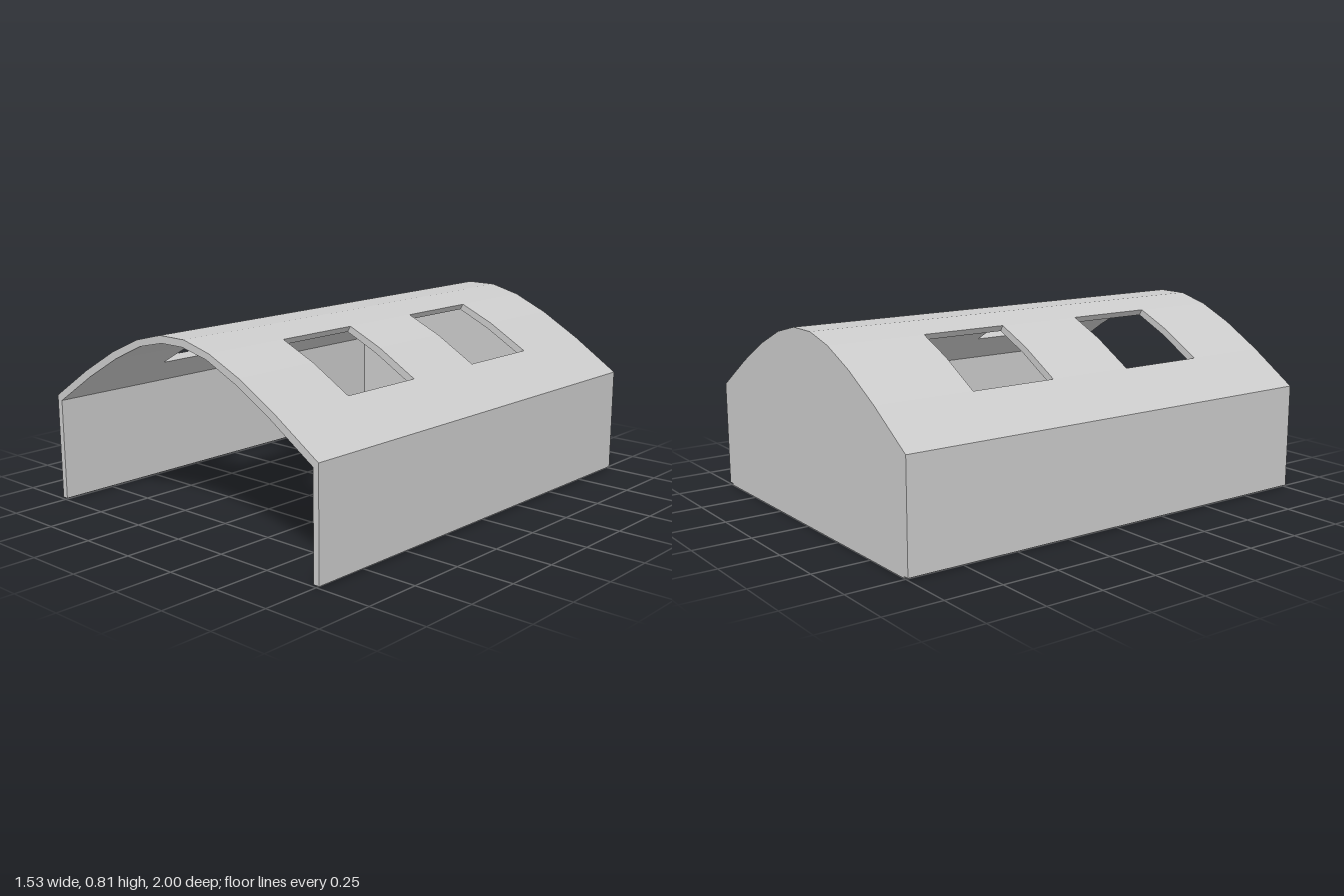
import * as THREE from 'three';

// Half profiles, from the wall foot up to the ridge
const OUTER = [[0.765, 0.008], [0.765, 0.465], [0.553, 0.602], [0.37, 0.705], [0.21, 0.775], [0.07, 0.81]];
const INNER = [[0.738, 0.008], [0.738, 0.445], [0.528, 0.58], [0.35, 0.68], [0.195, 0.75], [0.06, 0.78]];
const Z = [-1, -0.565, -0.175, 0.215, 0.61, 1];

// Full profile from the +x foot over the ridge to the -x foot
const mirror = (half) => [...half, ...half.slice().reverse().map(([x, y]) => [-x, y])];

// Vaulted shell: profile segments by length bands, leaving out the window cells
function shellGeometry() {
  const out = mirror(OUTER), inn = mirror(INNER);
  const segments = out.length - 1, bands = Z.length - 1;
  const isWindow = (i, j) => [2, 3, segments - 3, segments - 4].includes(i) && j % 2 === 1;
  const solid = (i, j) => i >= 0 && j >= 0 && i < segments && j < bands && !isWindow(i, j);
  const pos = [];
  const quad = (a, b, c, d) => [a, b, c, a, c, d].forEach((p) => pos.push(...p));
  for (let i = 0; i < segments; i++) {
    for (let j = 0; j < bands; j++) {
      if (!solid(i, j)) continue;
      const o = (k, l) => [...out[i + k], Z[j + l]];
      const n = (k, l) => [...inn[i + k], Z[j + l]];
      quad(o(0, 0), o(1, 0), o(1, 1), o(0, 1));
      quad(n(0, 0), n(0, 1), n(1, 1), n(1, 0));
      // Rims at the ends, feet and window openings
      if (!solid(i - 1, j)) quad(o(0, 0), o(0, 1), n(0, 1), n(0, 0));
      if (!solid(i + 1, j)) quad(o(1, 1), o(1, 0), n(1, 0), n(1, 1));
      if (!solid(i, j - 1)) quad(o(1, 0), o(0, 0), n(0, 0), n(1, 0));
      if (!solid(i, j + 1)) quad(o(0, 1), o(1, 1), n(1, 1), n(0, 1));
    }
  }
  const geometry = new THREE.BufferGeometry();
  geometry.setAttribute('position', new THREE.Float32BufferAttribute(pos, 3));
  geometry.computeVertexNormals();
  return geometry;
}

// End wall fitted inside the shell, reaching the ground
function backWallGeometry() {
  const points = mirror(INNER).map(([x, y]) => new THREE.Vector2(x, y < 0.01 ? 0 : y));
  const geometry = new THREE.ExtrudeGeometry(new THREE.Shape(points), { depth: 0.04, bevelEnabled: false });
  return geometry.translate(0, 0, -1);
}

export function createModel() {
  const group = new THREE.Group();
  group.name = 'vaultedHall';
  const material = new THREE.MeshStandardMaterial({ color: 0xcccccc, flatShading: true });
  const add = (name, geometry) => {
    const mesh = new THREE.Mesh(geometry, material);
    mesh.name = name;
    group.add(mesh);
  };
  add('roofAndSideWalls', shellGeometry());
  add('backWall', backWallGeometry());
  return group;
}
